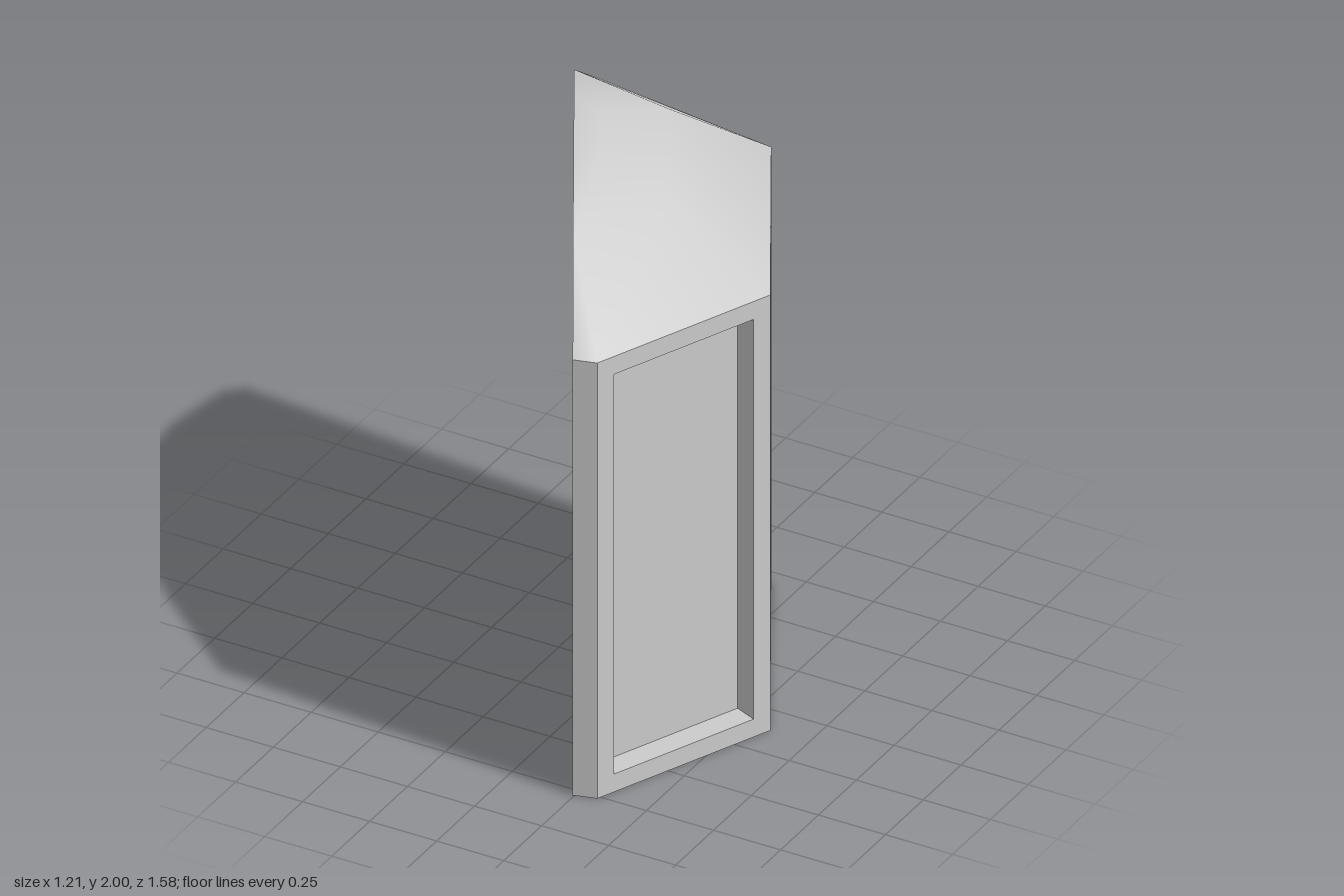
import * as THREE from 'three';
import { mergeVertices } from 'three/addons/utils/BufferGeometryUtils.js';

const H = 1.655; // eaves height
const material = new THREE.MeshStandardMaterial({ color: 0xcccccc });

// Footprint [x, z], left to right around the bay; the flat rear wall lies on z = 0
const mirror = (pts) => [...pts, ...pts.map(([x, z]) => [-x, z]).reverse()];
const footprint = mirror([[-0.87, 0], [-0.89, 0.08], [-0.4625, 0.64]]);

function mesh(name, geometry) {
  const m = new THREE.Mesh(geometry, material);
  m.name = name;
  return m;
}

// Joins successive rings of points with quads and fills the last ring
function loft(rings, closed) {
  const n = rings[0].length, index = [];
  for (let r = 0; r < rings.length - 1; r++) {
    for (let i = 0; i < (closed ? n : n - 1); i++) {
      const a = r * n + i, b = r * n + (i + 1) % n;
      index.push(a, b, b + n, a, b + n, a + n);
    }
  }
  const last = (rings.length - 1) * n;
  for (let i = 1; i < n - 1; i++) index.push(last, last + i, last + i + 1);
  const g = new THREE.BufferGeometry();
  g.setAttribute('position', new THREE.Float32BufferAttribute(rings.flat(2), 3));
  g.setIndex(index);
  return g;
}

// Wall from p to q; a margin above zero gives it a recessed panel
function wall(name, p, q, margin, depth) {
  const dx = q[0] - p[0], dz = q[1] - p[1], w = Math.hypot(dx, dz) / 2;
  const rect = (m, z) => [[m - w, m, z], [w - m, m, z], [w - m, H - m, z], [m - w, H - m, z]];
  const rings = margin ? [rect(0, 0), rect(margin, 0), rect(margin, -depth)] : [rect(0, 0)];
  const g = loft(rings, true).toNonIndexed();
  g.computeVertexNormals();
  const m = mesh(name, g);
  m.position.set((p[0] + q[0]) / 2, 0, (p[1] + q[1]) / 2);
  m.rotation.y = Math.atan2(-dz, dx);
  return m;
}

export function createModel() {
  const group = new THREE.Group();
  const bay = new THREE.Group();
  bay.name = 'bay';
  group.add(bay);

  // Three recessed panels between two narrow side strips
  const names = ['sideStrip', 'sidePanel', 'centrePanel', 'sidePanel', 'sideStrip'];
  names.forEach((name, i) => {
    bay.add(wall(name, footprint[i], footprint[i + 1], name === 'sideStrip' ? 0 : 0.068, 0.086));
  });

  // Smooth half-dome roof, with a small flat top
  const ring = (pts, y) => pts.map(([x, z]) => [x, y, z]);
  const roof = mergeVertices(loft([
    ring(footprint, H),
    ring(mirror([[-0.522, 0], [-0.522, 0], [-0.277, 0.308]]), 1.912),
    ring(mirror([[-0.225, 0], [-0.225, 0], [-0.12, 0.093]]), 2),
  ], false));
  roof.computeVertexNormals();
  bay.add(mesh('roof', roof));

  // Flat rear wall following the roof profile
  const outline = mirror([[-0.87, 0], [-0.87, H], [-0.522, 1.912], [-0.225, 2]]);
  const rear = mesh('rearWall', new THREE.ShapeGeometry(
    new THREE.Shape(outline.map(([x, y]) => new THREE.Vector2(x, y)))));
  rear.rotation.y = Math.PI;
  bay.add(rear);

  // Underside
  const base = mesh('base', new THREE.ShapeGeometry(
    new THREE.Shape(footprint.map(([x, z]) => new THREE.Vector2(x, z)))));
  base.rotation.x = Math.PI / 2;
  bay.add(base);

  // The whole bay stands turned about the vertical
  bay.rotation.y = Math.atan2(0.873, -0.488);
  bay.position.set(-0.18, 0, 0.025);
  return group;
}
